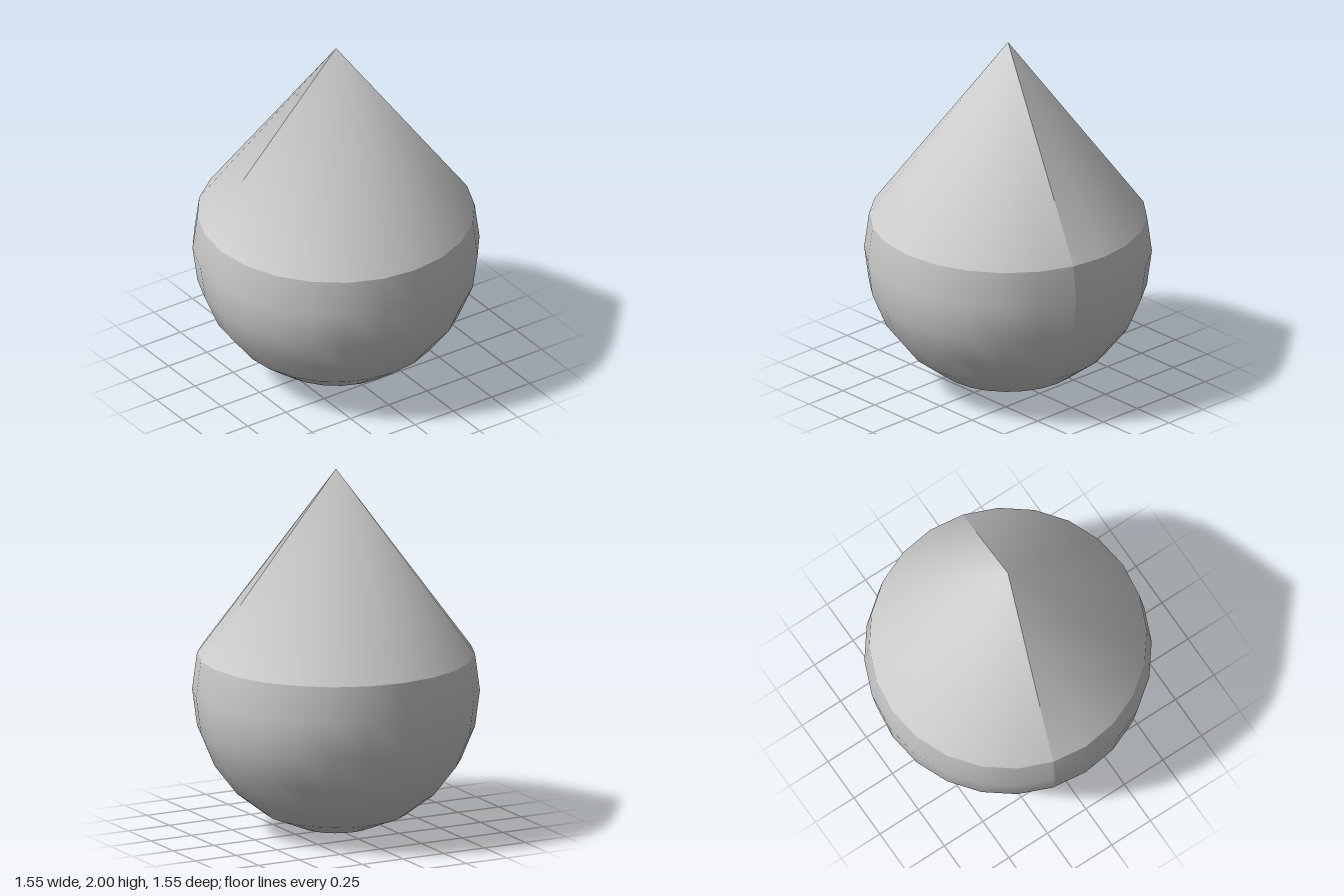
import * as THREE from 'three';
import { mergeVertices } from 'three/addons/utils/BufferGeometryUtils.js';

const R = 0.775; // ball radius
const STEP = Math.PI / 12; // 24 sides all round
const material = new THREE.MeshStandardMaterial({ color: 0xcccccc, side: THREE.DoubleSide });

// Half a turn of a profile, smoothed only within itself so its borders stay creased
function halfTurn(name, profile, start) {
  let geometry = new THREE.LatheGeometry(profile, 12, start, Math.PI);
  geometry.deleteAttribute('normal');
  geometry.deleteAttribute('uv');
  geometry = mergeVertices(geometry);
  geometry.computeVertexNormals();
  const mesh = new THREE.Mesh(geometry, material);
  mesh.name = name;
  return mesh;
}

export function createModel() {
  const group = new THREE.Group();
  group.name = 'teardrop';

  // Ball profile from the bottom pole to one step above the equator
  const ball = [];
  for (let i = -6; i <= 1; i++) {
    const x = i === -6 ? 0 : R * Math.cos(i * STEP);
    ball.push(new THREE.Vector2(x, R + R * Math.sin(i * STEP)));
  }
  // Straight cone from the rim of the ball to the tip
  const cone = [ball[ball.length - 1].clone(), new THREE.Vector2(0, 2)];

  // Back and front halves meet on a seam turned 15 degrees
  [['back', 5 * STEP], ['front', 17 * STEP]].forEach(([side, start]) => {
    group.add(halfTurn(side + 'Ball', ball, start));
    group.add(halfTurn(side + 'Cone', cone, start));
  });
  return group;
}
